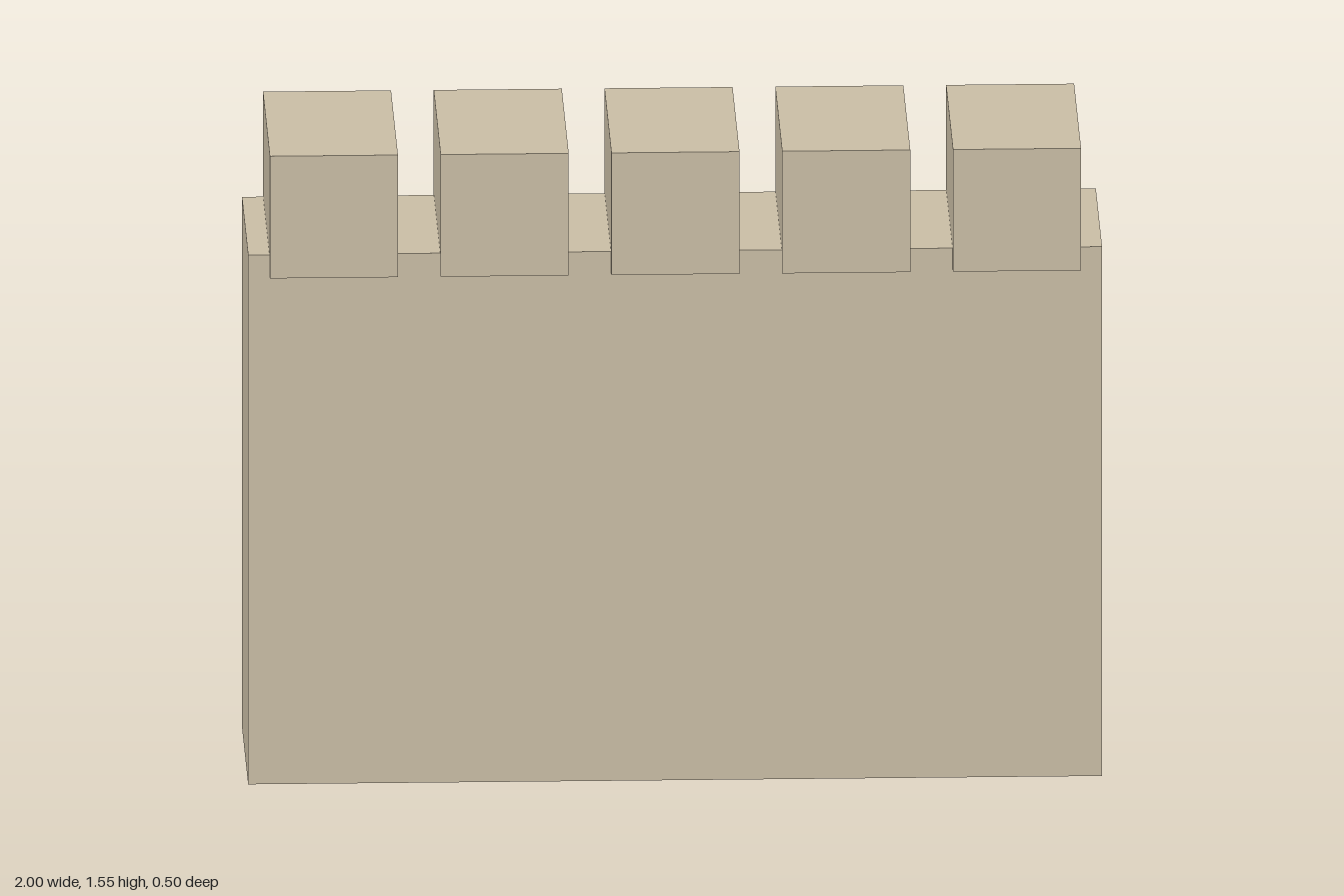
import * as THREE from 'three';

export function createModel() {
  const group = new THREE.Group();
  group.name = 'battlementWall';

  const stone = new THREE.MeshStandardMaterial({ color: 0xc9bda5 });
  stone.name = 'sandstone';

  // Adds a box standing on the height "bottom"
  const addBlock = (name, width, height, depth, x, bottom) => {
    const mesh = new THREE.Mesh(new THREE.BoxGeometry(width, height, depth), stone);
    mesh.name = name;
    mesh.position.set(x, bottom + height / 2, 0);
    group.add(mesh);
  };

  // Main wall
  addBlock('wall', 2, 1.3, 0.45, 0, 0);

  // Five merlons, slightly overhanging the wall and sunk into its top
  for (let i = 0; i < 5; i++) {
    addBlock(`merlon${i + 1}`, 0.3, 0.3, 0.5, (i - 2) * 0.4, 1.25);
  }

  return group;
}
